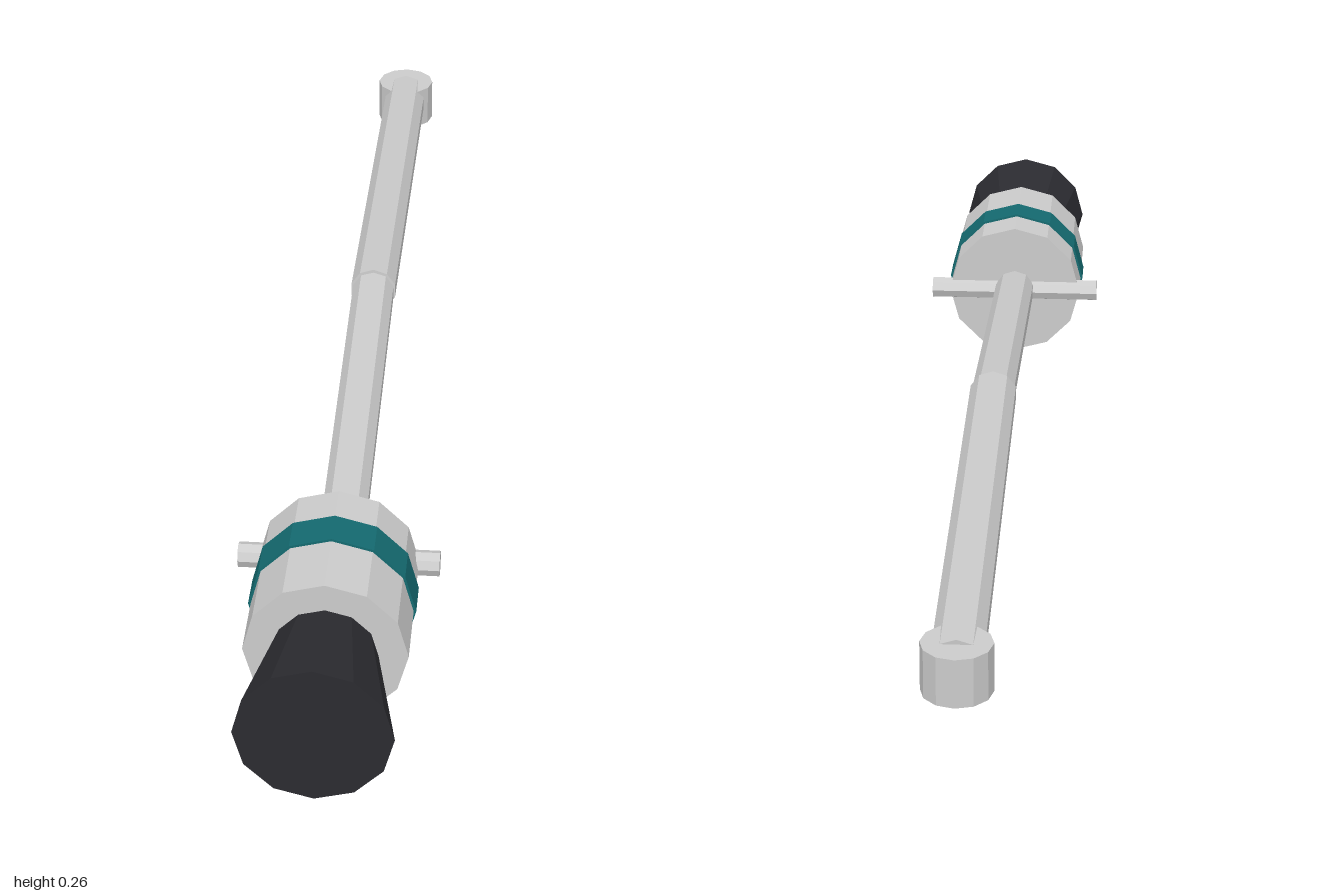
import * as THREE from 'three';

const AXIS_Y = 0.13; // height of the head's centre line

const material = (color) => new THREE.MeshStandardMaterial({ color, flatShading: true });

// Faceted rod from one point to another, radius r0 at the start and r1 at the end
function rod(name, from, to, r0, r1, sides, mat) {
  const a = new THREE.Vector3(...from);
  const b = new THREE.Vector3(...to);
  const geometry = new THREE.CylinderGeometry(r1, r0, a.distanceTo(b), sides).rotateX(Math.PI / 2);
  const mesh = new THREE.Mesh(geometry, mat);
  mesh.name = name;
  mesh.position.copy(a).add(b).multiplyScalar(0.5);
  mesh.lookAt(b);
  return mesh;
}

export function createModel() {
  const grey = material(0xcccccc);
  const dark = material(0x2b2b30);
  const teal = material(0x146a70);
  const model = new THREE.Group();
  model.name = 'jointedArm';

  // Head: flared nozzle, drum, coloured band
  const head = new THREE.Group();
  head.name = 'head';
  const along = (name, z0, z1, r0, r1, mat) =>
    head.add(rod(name, [0, AXIS_Y, z0], [0, AXIS_Y, z1], r0, r1, 12, mat));
  along('drum', 0.57, 0.81, 0.124, 0.124, grey);
  along('band', 0.64, 0.7, 0.128, 0.128, teal);
  along('nozzle', 0.81, 1, 0.079, 0.117, dark);

  // Cross pin through the back of the drum
  head.add(rod('crossPin', [-0.157, AXIS_Y, 0.576], [0.157, AXIS_Y, 0.576], 0.02, 0.02, 8, grey));
  model.add(head);

  // Two arm segments meeting at a slight bend
  model.add(rod('frontArm', [0, AXIS_Y, 0.58], [0, 0.208, -0.11], 0.037, 0.037, 10, grey));
  model.add(rod('rearArm', [0, 0.21, -0.105], [0, 0.165, -0.953], 0.04, 0.04, 10, grey));

  // Upright pivot at the rear end
  const pivot = new THREE.Mesh(new THREE.CylinderGeometry(0.053, 0.053, 0.077, 12), grey);
  pivot.name = 'rearPivot';
  pivot.position.set(0, 0.1585, -0.947);
  model.add(pivot);

  return model;
}
